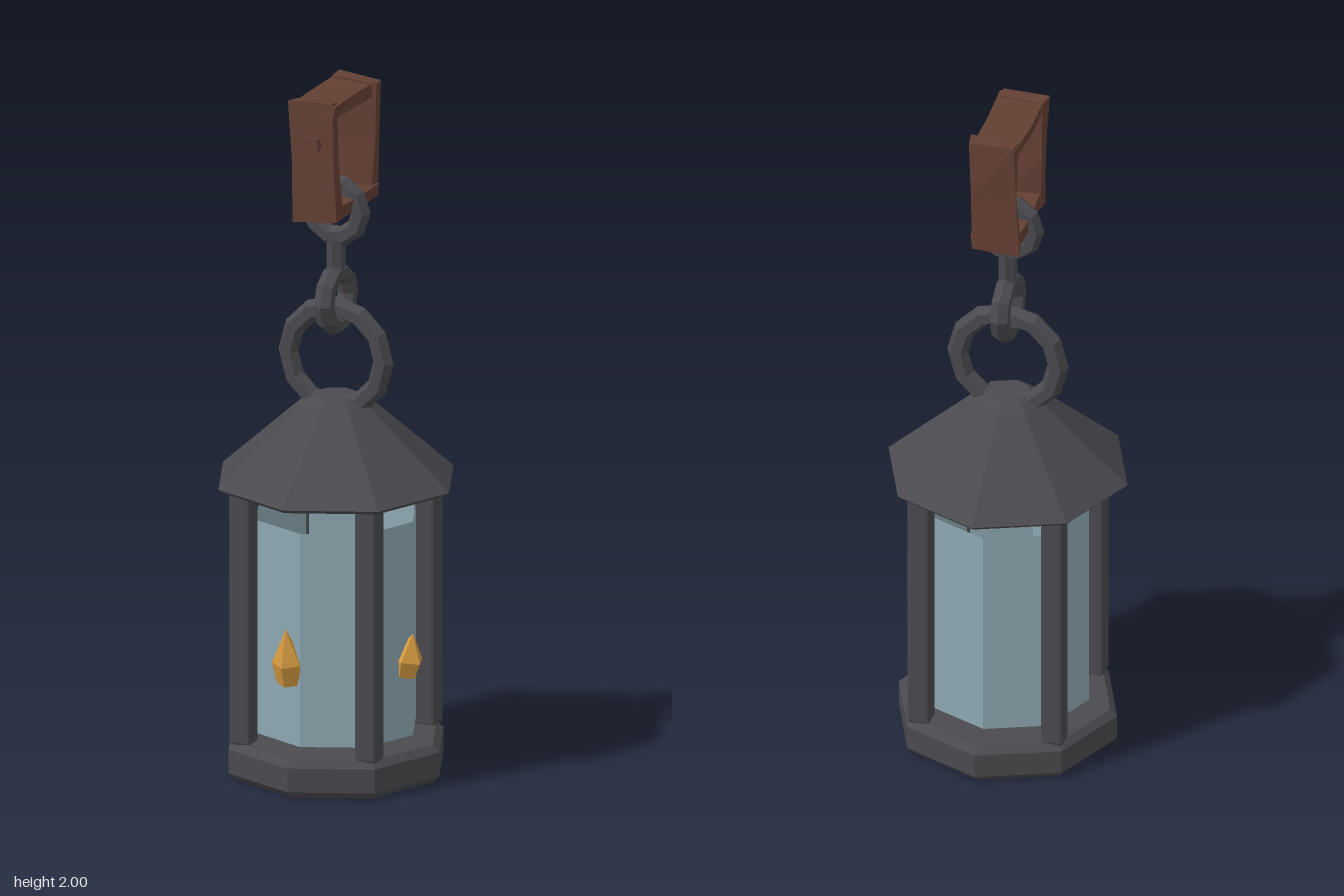
import * as THREE from 'three';
import { RoundedBoxGeometry } from 'three/addons/geometries/RoundedBoxGeometry.js';

const iron = new THREE.MeshStandardMaterial({ color: 0x4a4a4f });
iron.name = 'dark iron';
const wood = new THREE.MeshStandardMaterial({ color: 0x633f33 });
wood.name = 'brown wood';
const glass = new THREE.MeshStandardMaterial({ color: 0x8ea8b2, side: THREE.DoubleSide });
glass.name = 'blue grey glass';
const gold = new THREE.MeshStandardMaterial({ color: 0xd49a40 });
gold.name = 'flame gold';

// faceted normals
function flat(geometry) {
  const g = geometry.index ? geometry.toNonIndexed() : geometry;
  g.computeVertexNormals();
  return g;
}

function add(parent, name, geometry, material, x = 0, y = 0, z = 0) {
  const mesh = new THREE.Mesh(flat(geometry), material);
  mesh.name = name;
  mesh.position.set(x, y, z);
  parent.add(mesh);
  return mesh;
}

const lathe = (points, sides) =>
  new THREE.LatheGeometry(points.map(([r, y]) => new THREE.Vector2(r, y)), sides);

// rough board: corners nudged by a repeatable rule based on their place
function board(w, h, d, seed) {
  const g = new THREE.BoxGeometry(w, h, d, 1, h > d ? 2 : 1, d > h ? 2 : 1);
  const p = g.attributes.position;
  const nudge = (x, y, z, k) => {
    const s = Math.sin(x * 127 + y * 311 + z * 74 + seed * 17 + k * 53) * 4375.5;
    return (s - Math.floor(s) - 0.5) * 0.014;
  };
  for (let i = 0; i < p.count; i++) {
    const [x, y, z] = [p.getX(i), p.getY(i), p.getZ(i)].map((v) => Math.round(v * 1000) / 1000 + 0);
    p.setXYZ(i, x + nudge(x, y, z, 1), y + nudge(x, y, z, 2), z + nudge(x, y, z, 3));
  }
  return g;
}

export function createModel() {
  const model = new THREE.Group();
  model.name = 'hangingLantern';

  // eight-sided base with bevelled rims
  add(model, 'base', lathe([[0, 0], [0.3, 0], [0.32, 0.02], [0.32, 0.09], [0.3, 0.11], [0, 0.11]], 8), iron);

  // corner posts
  for (const x of [-1, 1]) {
    for (const z of [-1, 1]) {
      add(model, 'post', new RoundedBoxGeometry(0.064, 0.75, 0.064, 1, 0.008), iron, x * 0.195, 0.48, z * 0.195);
    }
  }

  // open glass tube
  add(model, 'glass', new THREE.CylinderGeometry(0.238, 0.238, 0.625, 8, 1, true), glass, 0, 0.443, 0);

  // roof
  add(model, 'roof', lathe([[0, 0.845], [0.34, 0.845], [0.35, 0.855], [0.1, 1.08], [0.065, 1.1], [0, 1.1]], 8), iron);

  // small flames leaning out through the glass
  const flame = (h) => lathe([[0, 0], [0.036, 0], [0.046, h * 0.38], [0, h]], 5);
  add(model, 'frontFlame', flame(0.165), gold, -0.04, 0.31, 0.22).rotation.x = 0.16;
  add(model, 'sideFlame', flame(0.125), gold, 0.22, 0.31, 0.013).rotation.z = -0.2;

  // handle ring and chain
  add(model, 'handleRing', new THREE.TorusGeometry(0.147, 0.031, 6, 12), iron, 0, 1.21, 0);
  const chain = new THREE.Group();
  chain.name = 'chain';
  model.add(chain);
  const link = () => new THREE.TorusGeometry(0.078, 0.029, 6, 10);
  add(chain, 'lowerLink', link(), iron, 0, 1.38, 0).rotation.y = Math.PI / 2;
  add(chain, 'linkStem', new THREE.CylinderGeometry(0.027, 0.027, 0.11, 6), iron, 0, 1.51, 0);
  add(chain, 'upperLink', link(), iron, 0, 1.642, 0);

  // wooden hanger frame
  const hanger = new THREE.Group();
  hanger.name = 'hanger';
  model.add(hanger);
  add(hanger, 'topBoard', board(0.13, 0.04, 0.295, 1), wood, 0, 1.972, 0);
  add(hanger, 'bottomBoard', board(0.122, 0.04, 0.295, 2), wood, 0, 1.668, 0);
  add(hanger, 'frontBoard', board(0.132, 0.345, 0.042, 3), wood, 0, 1.82, 0.133).rotation.z = 0.03;
  add(hanger, 'backBoard', board(0.132, 0.345, 0.042, 4), wood, 0, 1.82, -0.13).rotation.z = -0.03;
  add(hanger, 'peg', new THREE.CylinderGeometry(0.027, 0.027, 0.04, 8), wood, 0, 1.875, 0.153).rotation.x = Math.PI / 2;

  return model;
}
